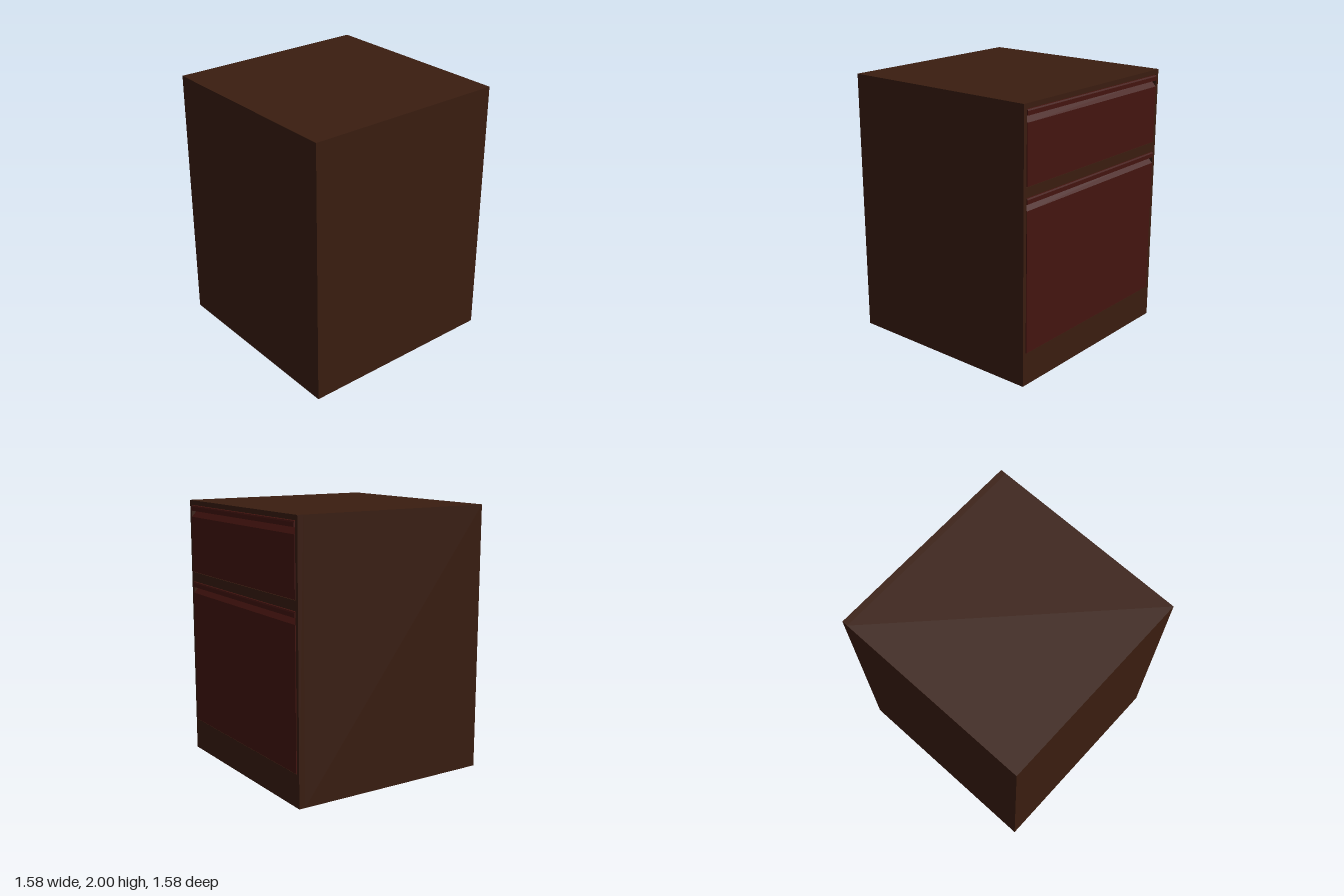
import * as THREE from 'three';

const WOOD = new THREE.MeshStandardMaterial({ color: 0x3a1d10 });
const RED = new THREE.MeshStandardMaterial({ color: 0x44140f });
const FACE = 0.785, RECESS = 0.74, BACK = -0.79, HALF = 0.79, HEIGHT = 2;
const DRAWERS = [
  { name: 'upperDrawer', bottom: 1.445, top: 1.96 },
  { name: 'lowerDrawer', bottom: 0.245, top: 1.365 },
];
const DRAWER_HALF = 0.757;

function rect(Type, halfWidth, bottom, top) {
  return new Type([
    new THREE.Vector2(-halfWidth, bottom), new THREE.Vector2(halfWidth, bottom),
    new THREE.Vector2(halfWidth, top), new THREE.Vector2(-halfWidth, top),
  ]);
}

function add(parent, geometry, material, name) {
  const mesh = new THREE.Mesh(geometry, material);
  mesh.name = name;
  parent.add(mesh);
  return mesh;
}

// Drawer front: side profile with a sloped finger pull beneath a projecting lip
function drawerFront({ bottom, top }) {
  const profile = new THREE.Shape([
    [RECESS, bottom], [0.788, bottom], [0.788, top - 0.087],
    [0.75, top - 0.047], [0.792, top - 0.04], [0.792, top - 0.01],
    [0.787, top], [RECESS, top],
  ].map(([x, y]) => new THREE.Vector2(x, y)));
  return new THREE.ExtrudeGeometry(profile, { depth: 2 * DRAWER_HALF, bevelEnabled: false })
    .translate(0, 0, -DRAWER_HALF);
}

export function createModel() {
  const model = new THREE.Group();
  model.name = 'drawerCabinet';

  // Closed cabinet body
  const depth = RECESS - BACK;
  add(model, new THREE.BoxGeometry(depth, HEIGHT, 2 * HALF)
    .translate(BACK + depth / 2, HEIGHT / 2, 0), WOOD, 'cabinetBody');

  // Face frame with an opening for each drawer
  const frame = rect(THREE.Shape, HALF, 0, HEIGHT);
  for (const d of DRAWERS) {
    frame.holes.push(rect(THREE.Path, DRAWER_HALF + 0.004, d.bottom - 0.004, d.top + 0.004));
  }
  add(model, new THREE.ExtrudeGeometry(frame, { depth: FACE - RECESS, bevelEnabled: false })
    .rotateY(Math.PI / 2).translate(RECESS, 0, 0), WOOD, 'faceFrame');

  // Drawers
  for (const d of DRAWERS) add(model, drawerFront(d), RED, d.name);

  return model;
}
